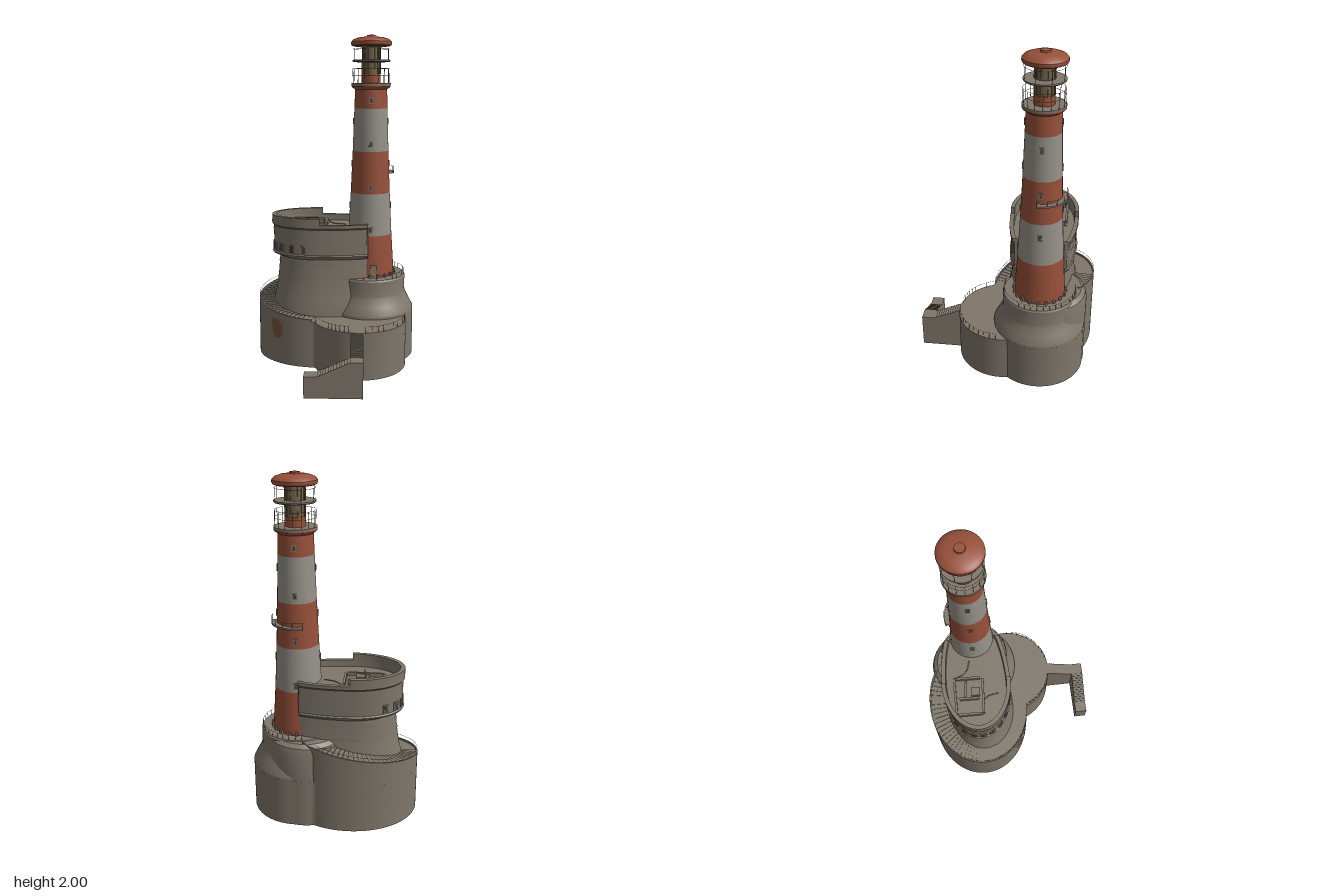
import * as THREE from 'three';
import { toCreasedNormals } from 'three/addons/utils/BufferGeometryUtils.js';

const mat = (name, color) => new THREE.MeshStandardMaterial({ name, color, side: THREE.DoubleSide });
const { PI, cos, sin, sqrt, atan2, max, min } = Math;
const rad = (d) => d * PI / 180;

export function createModel() {
  const model = new THREE.Group();
  model.name = 'lighthouse';
  const stone = mat('stone', 0x7f776b);
  const pale = mat('paleBand', 0x97928a);
  const red = mat('redBand', 0x98503a);
  const dark = mat('darkOpening', 0x4a453d);
  const bronze = mat('lanternBronze', 0x74654a);
  const rust = mat('rustPatch', 0x7a5540);

  const add = (name, geo, material, x = 0, y = 0, z = 0, ry = 0) => {
    const m = new THREE.Mesh(geo, material);
    m.name = name;
    m.position.set(x, y, z);
    m.rotation.y = ry;
    model.add(m);
    return m;
  };
  const box = (name, w, h, d, m, x, y, z, ry) => add(name, new THREE.BoxGeometry(w, h, d), m, x, y, z, ry);
  const lathe = (name, pts, m, x, z, seg = 40) => add(name, toCreasedNormals(
    new THREE.LatheGeometry(pts.map((p) => new THREE.Vector2(...p)), seg), 0.5), m, x, 0, z);
  // Skin over rows of equally many [x, y, z] points
  const skin = (name, rows, m) => {
    const n = rows[0].length, idx = [];
    for (let r = 0; r < rows.length - 1; r++) for (let i = 0; i < n - 1; i++) {
      const a = r * n + i, b = a + n;
      idx.push(a, b, a + 1, a + 1, b, b + 1);
    }
    const g = new THREE.BufferGeometry();
    g.setAttribute('position', new THREE.Float32BufferAttribute(rows.flat(2), 3));
    g.setIndex(idx);
    return add(name, toCreasedNormals(g, 0.5), m);
  };
  const sample = (n, f) => Array.from({ length: n + 1 }, (_, i) => f(i / n));
  const rail = (name, pts, m = bronze, r = 0.001) => add(name, new THREE.TubeGeometry(
    new THREE.CatmullRomCurve3(pts.map((p) => new THREE.Vector3(...p))), pts.length * 2, r, 4), m);

  const TX = 0.213, TZ = -0.22;   // tower axis
  const KX = -0.1, KZ = -0.22;    // keep axis

  // Hollow rock base: union outline of rounded lobes, open underneath
  const OX = 0.05, OZ = -0.15;
  const lobes = [[KX, KZ, 0.395, 0.325], [TX, TZ, 0.277, 0.277], [0.147, 0, 0.287, 0.287], [0.165, -0.27, 0.234, 0.234]];
  const reach = (dx, dz) => max(...lobes.map(([cx, cz, a, b]) => {
    const px = (OX - cx) / a, pz = (OZ - cz) / b, ux = dx / a, uz = dz / b;
    const A = ux * ux + uz * uz, B = px * ux + pz * uz, C = px * px + pz * pz - 1;
    return (-B + sqrt(B * B - A * C)) / A;
  }));
  const outline = (y, k = 1) => sample(144, (u) => {
    const dx = cos(u * 2 * PI), dz = sin(u * 2 * PI), r = k * reach(dx, dz);
    return [OX + r * dx, y, OZ + r * dz];
  });
  skin('base', [outline(0), outline(0.29), outline(0.29, 0)], stone);

  // Round shoulder and platform under the tower, with the straight wall behind it
  lathe('towerPlatform', [[0.277, 0.285], [0.277, 0.305], [0.25, 0.355], [0.228, 0.4], [0.223, 0.42],
    [0.223, 0.51], [0.217, 0.52], [0, 0.52]], stone, TX, TZ, 48);
  lathe('platformBack', [[0.234, 0.285], [0.234, 0.46], [0.225, 0.495], [0.2, 0.515], [0, 0.515]], stone, 0.165, -0.27, 48);

  // Stair winding up around the keep, with its outer wall
  const T0 = rad(96), T1 = rad(314), STEPS = 46;
  const climb = (s) => 0.295 + 0.22 * s ** 1.3;
  const ell = (t, a, b, y) => [KX + a * cos(t), y, KZ + b * sin(t)];
  const turn = (s) => T0 + (T1 - T0) * s;
  const inner = [], outer = [];
  for (let i = 0; i < STEPS; i++) for (const k of [i, i + 1]) {
    const t = turn(k / STEPS), y = climb(i / STEPS);
    inner.push(ell(t, 0.285, 0.21, y));
    outer.push(ell(t, 0.392, 0.322, y));
  }
  skin('windingSteps', [inner, outer], stone);
  const wallRow = (da, f) => sample(60, (s) => ell(turn(s), 0.395 + da, 0.325 + da, f(s)));
  const wallTop = (s) => climb(s) + 0.008;
  skin('stairWall', [wallRow(0, () => 0.285), wallRow(0, wallTop), wallRow(-0.009, wallTop),
    wallRow(-0.009, () => 0.285)], stone);
  rail('stairRail', sample(30, (s) => ell(turn(s * 0.95), 0.392, 0.322, climb(s * 0.95) + 0.03)));

  // Keep: oval, stretched towards the tower and cut off inside it
  const keepPt = (t, a, b, y) => {
    const c = cos(t);
    return [min(KX + (c > 0 ? a + 0.2 : a) * c, 0.2), y, KZ + b * sin(t)];
  };
  const keepRow = ([y, a, b], from = 0, to = 2 * PI, n = 80) =>
    sample(n, (u) => keepPt(from + (to - from) * u, a, b, y));
  skin('keep', [[0.29, 0.308, 0.23], [0.36, 0.298, 0.222], [0.42, 0.282, 0.208], [0.52, 0.268, 0.195],
    [0.64, 0.258, 0.187], [0.655, 0.3, 0.205], [0.665, 0.305, 0.21], [0.672, 0.295, 0.202],
    [0.83, 0.297, 0.203], [0.84, 0.306, 0.211], [0.86, 0.306, 0.211], [0.86, 0.28, 0.186],
    [0.82, 0.278, 0.184], [0.822, 0, 0]].map((r) => keepRow(r)), stone);
  skin('highParapet', [[0.855, 0.306, 0.211], [0.9, 0.306, 0.211], [0.9, 0.28, 0.186],
    [0.82, 0.28, 0.186]].map((r) => keepRow(r, PI / 2, PI * 1.5, 40)), stone);
  for (const t of [PI / 2, PI * 1.5]) {
    box('parapetEnd', 0.008, 0.045, 0.025, stone, KX, 0.8775, KZ + 0.198 * sin(t));
  }
  // Broken raised courses around the keep
  for (const [y, a, b, start] of [[0.516, 0.27, 0.197, 1], [0.6, 0.264, 0.193, 0.7], [0.77, 0.299, 0.205, 0.9],
    [0.805, 0.299, 0.205, 1.2], [0.852, 0.308, 0.213, 0.8]]) {
    for (let k = 0; k < 7; k++) {
      const f = start + k * 0.68, e = f + 0.3 + 0.14 * (k % 3);
      skin('keepCourse', [keepRow([y, a, b], f, e, 8), keepRow([y + 0.007, a, b], f, e, 8)], stone);
    }
  }
  // Windows in the keep gallery
  for (let i = 0; i < 8; i++) {
    const t = rad(109 + i * 17), p = keepPt(t, 0.297, 0.204, 0.702);
    const ry = atan2(cos(t) / 0.297, sin(t) / 0.204);
    box('windowFrame', 0.036, 0.052, 0.006, stone, ...p, ry);
    box('keepWindow', 0.022, 0.042, 0.008, dark, ...p, ry);
  }
  // Ruined low walls and ridges on the keep roof
  for (const [x, z, w, d] of [[-0.29, -0.27, 0.014, 0.14], [-0.18, -0.185, 0.22, 0.014], [-0.18, -0.355, 0.2, 0.014],
    [-0.06, -0.27, 0.014, 0.15], [-0.19, -0.27, 0.014, 0.12], [-0.13, -0.29, 0.1, 0.012], [-0.15, -0.23, 0.05, 0.05]]) {
    box('roofRuin', w, 0.03, d, stone, x, 0.83, z, (x * 37 + z * 11) % 0.12);
  }
  rail('roofRidge', [[-0.05, 0.823, -0.36], [-0.03, 0.823, -0.3], [0, 0.823, -0.27], [0.06, 0.823, -0.25]], stone, 0.003);
  rail('roofRidge', [[-0.2, 0.823, -0.18], [-0.18, 0.823, -0.15], [-0.17, 0.823, -0.09]], stone, 0.003);

  // Tower in coloured bands
  const levels = [[0.52, 0.153], [0.78, 0.136], [1.04, 0.122], [1.3, 0.111], [1.56, 0.102], [1.68, 0.098]];
  const towerR = (y) => {
    const i = max(0, levels.findIndex((l) => l[0] >= y) - 1), [a, b] = [levels[i], levels[i + 1]];
    return a[1] + (b[1] - a[1]) * (y - a[0]) / (b[0] - a[0]);
  };
  for (let i = 0; i < 5; i++) {
    const [y0, r0] = levels[i], [y1, r1] = levels[i + 1];
    lathe('towerBand', [[r0, y0], [r1, y1]], i % 2 ? pale : red, TX, TZ);
  }
  const onTower = (name, a, y, r, w, h, d, m) =>
    box(name, w, h, d, m, TX + r * sin(a), y, TZ + r * cos(a), a);
  for (let side = 0; side < 4; side++) for (let k = 0; k < 4; k++) {
    const y = (side % 2 ? 0.955 : 0.82) + k * 0.263;
    if (y > 1.65) continue;
    onTower('windowFrame', side * PI / 2, y, towerR(y), 0.026, 0.038, 0.008, stone);
    onTower('towerWindow', side * PI / 2, y, towerR(y), 0.014, 0.026, 0.0098, dark);
  }
  for (let i = 0; i < 20; i++) onTower('footBlock', i * PI / 10, 0.53, 0.158, 0.014, 0.02, 0.012, stone);
  onTower('towerDoor', rad(8), 0.56, 0.153, 0.035, 0.08, 0.009, stone);

  // Side balcony
  const arc = (r, y, f = -8, t = 108) => sample(20, (u) => {
    const a = rad(f + (t - f) * u);
    return [TX + r * cos(a), y, TZ - r * sin(a)];
  });
  skin('balcony', [arc(0.11, 1.155), arc(0.147, 1.16), arc(0.147, 1.17), arc(0.11, 1.17)], stone);
  rail('balconyRail', arc(0.145, 1.2));
  for (const p of arc(0.145, 1.185).filter((_, i) => i % 4 === 0)) box('balconyPost', 0.003, 0.03, 0.003, bronze, ...p);

  // Lantern room, galleries and roof
  lathe('galleryCorbel', [[0.097, 1.675], [0.117, 1.688], [0.12, 1.693], [0.12, 1.7]], red, TX, TZ);
  lathe('mainGallery', [[0.12, 1.7], [0.12, 1.712], [0, 1.712]], stone, TX, TZ);
  lathe('lanternFoot', [[0.058, 1.71], [0.058, 1.765], [0.05, 1.765]], red, TX, TZ, 20);
  lathe('lantern', [[0.055, 1.765], [0.055, 1.93]], bronze, TX, TZ, 16);
  lathe('upperGallery', [[0.05, 1.836], [0.112, 1.84], [0.116, 1.844], [0.116, 1.852], [0.05, 1.852]], stone, TX, TZ);
  lathe('roofSoffit', [[0.05, 1.926], [0.108, 1.933]], bronze, TX, TZ);
  lathe('lanternRoof', [[0.108, 1.933], [0.12, 1.938], [0.124, 1.948], [0.123, 1.96], [0.11, 1.974], [0.08, 1.985],
    [0.03, 1.991], [0.028, 2], [0, 2]], red, TX, TZ);
  for (let i = 0; i < 16; i++) {
    const a = i * PI / 8;
    onTower('galleryPost', a, 1.755, 0.114, 0.002, 0.09, 0.002, bronze);
    onTower('lanternBar', a, 1.85, 0.056, 0.005, 0.165, 0.005, bronze);
    if (i % 2) onTower('upperPost', a, 1.885, 0.112, 0.002, 0.07, 0.002, bronze);
  }
  for (const [r, y] of [[0.114, 1.8], [0.114, 1.76], [0.112, 1.918]]) rail('galleryRail', arc(r, y, 0, 360));

  // Railings on the platform and front terrace
  rail('platformRail', arc(0.215, 0.55, -100, 100));
  for (const p of arc(0.215, 0.535, -100, 100)) box('platformPost', 0.002, 0.03, 0.002, bronze, ...p);
  const terrace = (f, t, y) => sample(10, (u) => {
    const a = rad(f + (t - f) * u);
    return [0.147 + 0.281 * cos(a), y, 0.281 * sin(a)];
  });
  for (const [f, t] of [[5, 82], [102, 158]]) {
    rail('terraceRail', terrace(f, t, 0.325));
    for (const p of terrace(f, t, 0.307)) box('terracePost', 0.002, 0.036, 0.002, bronze, ...p);
  }

  // Front stairs: one flight forward, a landing, one flight sideways
  const N = 12;
  for (let i = 0; i < N; i++) {
    const h1 = 0.288 - 0.078 * (i + 0.5) / N, d1 = 0.18 / N;
    box('frontStep', 0.074, h1, d1, stone, 0.135, h1 / 2, 0.276 + d1 * (i + 0.5));
    const h2 = 0.21 - 0.083 * (i + 0.5) / N, d2 = 0.18 / N;
    box('sideStep', d2, h2, 0.076, stone, 0.098 - d2 * (i + 0.5), h2 / 2, 0.494);
  }
  box('landing', 0.074, 0.21, 0.076, stone, 0.135, 0.105, 0.494);
  box('lowerLanding', 0.076, 0.125, 0.076, stone, -0.12, 0.0625, 0.494);

  // Weathered patch on the base wall
  const patchRow = (y, f, t) => sample(6, (u) => ell(rad(f + (t - f) * u), 0.398, 0.328, y));
  skin('wallPatch', [patchRow(0.16, 127, 133), patchRow(0.19, 124, 136), patchRow(0.25, 124, 137),
    patchRow(0.28, 128, 138)], rust);
  return model;
}
